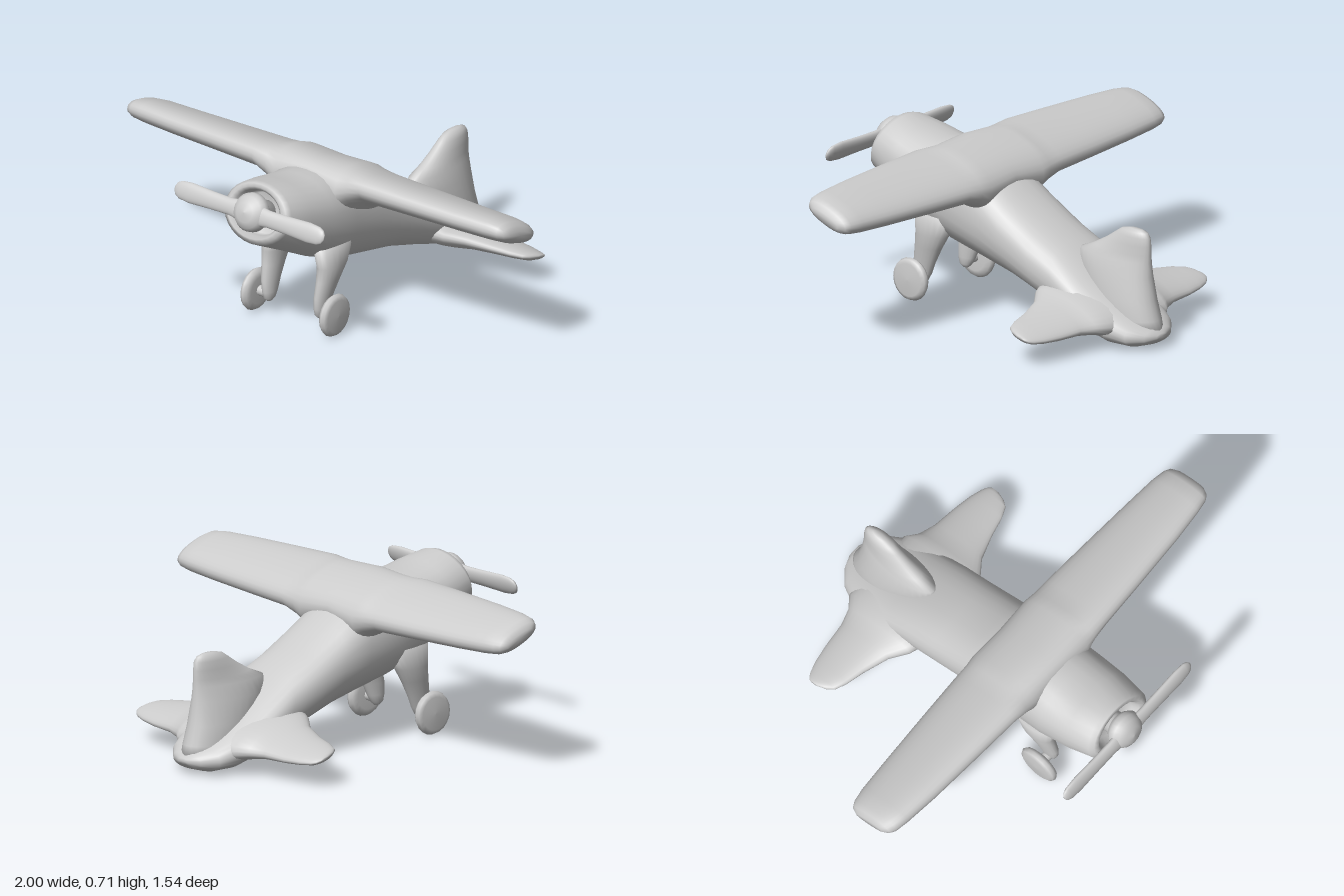
import * as THREE from 'three';

const V = (x, y, z) => new THREE.Vector3(x, y, z);
const TILT = 0.34; // nose-up attitude
const FORWARD = V(0, Math.sin(TILT), Math.cos(TILT));
const UP = V(0, Math.cos(TILT), -Math.sin(TILT));
const material = new THREE.MeshStandardMaterial({ color: 0xcccccc });

// Superelliptic ring around c with half axes a along u and b along v
function ring(c, u, v, a, b, power = 2, n = 28) {
  const soft = t => Math.sign(t) * Math.abs(t) ** (2 / power);
  return Array.from({ length: n }, (_, i) => {
    const t = (i / n) * Math.PI * 2;
    return c.clone().addScaledVector(u, a * soft(Math.cos(t))).addScaledVector(v, b * soft(Math.sin(t)));
  });
}

// Closed smooth skin through a list of rings, always facing outwards
function loft(name, rings) {
  const n = rings[0].length, m = rings.length;
  const points = rings.flat();
  const index = [];
  for (let j = 0; j < m - 1; j++) {
    for (let i = 0; i < n; i++) {
      const a = j * n + i, b = j * n + (i + 1) % n;
      index.push(a, b, a + n, b, b + n, a + n);
    }
  }
  const centre = r => r.reduce((s, p) => s.add(p), V(0, 0, 0)).divideScalar(n);
  const first = points.push(centre(rings[0])) - 1;
  const last = points.push(centre(rings[m - 1])) - 1;
  for (let i = 0; i < n; i++) {
    const k = (i + 1) % n;
    index.push(first, k, i, last, (m - 1) * n + i, (m - 1) * n + k);
  }
  let volume = 0;
  for (let i = 0; i < index.length; i += 3) {
    volume += points[index[i]].dot(points[index[i + 1]].clone().cross(points[index[i + 2]]));
  }
  if (volume < 0) index.reverse();
  const geometry = new THREE.BufferGeometry().setFromPoints(points);
  geometry.setIndex(index);
  geometry.computeVertexNormals();
  const mesh = new THREE.Mesh(geometry, material);
  mesh.name = name;
  return mesh;
}

// Horizontal surface from right tip to left tip; rows: x, y, z, half chord, half thickness
function span(name, rows, tilt, power = 2) {
  const u = V(0, Math.sin(tilt), Math.cos(tilt)), v = V(0, Math.cos(tilt), -Math.sin(tilt));
  const make = s => rows.map(([x, y, z, a, b]) => ring(V(s * x, y, z), u, v, a, b, power));
  return loft(name, [...make(-1).reverse(), ...make(1).slice(rows[0][0] === 0 ? 1 : 0)]);
}

function fuselage() {
  // top z, top y, bottom z, bottom y, half width
  const rows = [
    [0.645, 0.712, 0.715, 0.48, 0.155], [0.62, 0.715, 0.71, 0.465, 0.172],
    [0.52, 0.692, 0.58, 0.40, 0.19], [0.40, 0.67, 0.42, 0.315, 0.2],
    [0.25, 0.675, 0.27, 0.25, 0.2], [0.10, 0.61, 0.08, 0.21, 0.2],
    [-0.02, 0.525, -0.08, 0.178, 0.2], [-0.18, 0.43, -0.25, 0.125, 0.2],
    [-0.30, 0.375, -0.38, 0.08, 0.2], [-0.45, 0.27, -0.50, 0.036, 0.2],
    [-0.60, 0.18, -0.62, 0.012, 0.19], [-0.70, 0.12, -0.70, 0.01, 0.145],
    [-0.755, 0.09, -0.75, 0.025, 0.085], [-0.775, 0.07, -0.775, 0.045, 0.03],
  ];
  const body = rows.map(([tz, ty, bz, by, w], i) => {
    const half = V(0, (ty - by) / 2, (tz - bz) / 2);
    return ring(V(0, (ty + by) / 2, (tz + bz) / 2), V(1, 0, 0), half, w, 1, i < 2 ? 2 : 2.3);
  });
  // Hollow nose opening: floor, wall and rounded lip
  const mouth = [[-0.07, 0.095, 0.085], [-0.04, 0.11, 0.092], [-0.005, 0.12, 0.096], [0.01, 0.137, 0.108]]
    .map(([d, a, b]) => ring(V(0, 0.595, 0.68).addScaledVector(FORWARD, d), V(1, 0, 0), UP, a, b));
  return loft('fuselage', [...mouth, ...body]);
}

function fin() {
  // y, front z, back z, half thickness
  return loft('tailFin', [
    [0.05, -0.45, -0.772, 0.09], [0.12, -0.42, -0.755, 0.1], [0.2, -0.38, -0.733, 0.095],
    [0.3, -0.33, -0.718, 0.08], [0.36, -0.34, -0.715, 0.06], [0.39, -0.41, -0.714, 0.05],
    [0.43, -0.48, -0.714, 0.043], [0.465, -0.53, -0.71, 0.036], [0.485, -0.56, -0.697, 0.027],
    [0.495, -0.6, -0.67, 0.012],
  ].map(([y, f, b, w]) => ring(V(0, y, (f + b) / 2), V(0, 0, 1), V(1, 0, 0), (f - b) / 2, w)));
}

function propeller() {
  const group = new THREE.Group();
  group.name = 'propeller';
  // Two blades in one strip, waisted into the hub
  group.add(span('propellerBlades', [
    [0, 0.61, 0.72, 0.05, 0.022], [0.1, 0.61, 0.72, 0.036, 0.02], [0.2, 0.61, 0.72, 0.038, 0.019],
    [0.31, 0.61, 0.72, 0.043, 0.018], [0.36, 0.61, 0.72, 0.038, 0.015],
    [0.38, 0.61, 0.72, 0.028, 0.011], [0.39, 0.61, 0.72, 0.012, 0.005],
  ], TILT + Math.PI / 2));
  // Rounded spinner with its shaft reaching into the nose
  const profile = [[0, -0.13], [0.05, -0.13], [0.05, -0.05], [0.07, -0.035], [0.083, -0.015],
    [0.081, 0.008], [0.068, 0.028], [0.042, 0.045], [0, 0.052]].map(p => new THREE.Vector2(...p));
  const hub = new THREE.Mesh(new THREE.LatheGeometry(profile, 28), material);
  hub.name = 'propellerHub';
  hub.position.set(0, 0.61, 0.712);
  hub.quaternion.setFromUnitVectors(V(0, 1, 0), FORWARD);
  group.add(hub);
  return group;
}

function landingGear(s) {
  const group = new THREE.Group();
  group.name = s > 0 ? 'leftLandingGear' : 'rightLandingGear';
  // x, y, z, half width, half depth
  group.add(loft('leg', [
    [0.135, 0.38, 0.34, 0.06, 0.11], [0.145, 0.29, 0.358, 0.048, 0.083], [0.143, 0.23, 0.38, 0.038, 0.068],
    [0.138, 0.16, 0.405, 0.03, 0.055], [0.135, 0.11, 0.415, 0.026, 0.043],
    [0.134, 0.08, 0.42, 0.021, 0.03], [0.134, 0.065, 0.42, 0.01, 0.014],
  ].map(([x, y, z, a, b]) => ring(V(s * x, y, z), V(1, 0, 0), V(0, 0, 1), a, b, 2, 20))));
  const axle = new THREE.Mesh(new THREE.CylinderGeometry(0.022, 0.022, 0.07, 14), material);
  axle.name = 'axle';
  axle.rotation.z = Math.PI / 2;
  axle.position.set(s * 0.165, 0.095, 0.42);
  // Disc wheel with a rounded tread
  const tread = [[0, -0.02], [0.06, -0.022], [0.082, -0.015], [0.092, 0], [0.086, 0.014], [0.07, 0.022], [0, 0.025]];
  const wheel = new THREE.Mesh(new THREE.LatheGeometry(tread.map(p => new THREE.Vector2(...p)), 20), material);
  wheel.name = 'wheel';
  wheel.rotation.z = -s * Math.PI / 2;
  wheel.position.set(s * 0.205, 0.095, 0.42);
  group.add(axle, wheel);
  return group;
}

export function createModel() {
  const model = new THREE.Group();
  model.name = 'airplane';
  model.add(fuselage(), fin(), propeller(), landingGear(1), landingGear(-1));

  // Main wing, thickened where it meets the body
  model.add(span('mainWing', [
    [0, 0.60, 0.19, 0.176, 0.08], [0.16, 0.575, 0.19, 0.18, 0.11], [0.21, 0.59, 0.19, 0.176, 0.085],
    [0.28, 0.604, 0.19, 0.174, 0.066], [0.5, 0.605, 0.19, 0.162, 0.061], [0.75, 0.606, 0.19, 0.146, 0.056],
    [0.9, 0.607, 0.188, 0.132, 0.053], [0.96, 0.606, 0.188, 0.121, 0.047],
    [0.985, 0.604, 0.187, 0.106, 0.037], [1, 0.602, 0.187, 0.075, 0.018],
  ], 0.36, 2.3));

  // Tailplane, flared into the rear body
  model.add(span('tailplane', [
    [0, 0.15, -0.46, 0.2, 0.08], [0.17, 0.15, -0.455, 0.205, 0.07], [0.22, 0.145, -0.445, 0.175, 0.055],
    [0.29, 0.138, -0.46, 0.135, 0.043], [0.4, 0.13, -0.474, 0.108, 0.032], [0.48, 0.128, -0.477, 0.09, 0.026],
    [0.53, 0.127, -0.48, 0.07, 0.02], [0.55, 0.127, -0.488, 0.05, 0.014], [0.563, 0.127, -0.5, 0.022, 0.006],
  ], 0.28));
  return model;
}
